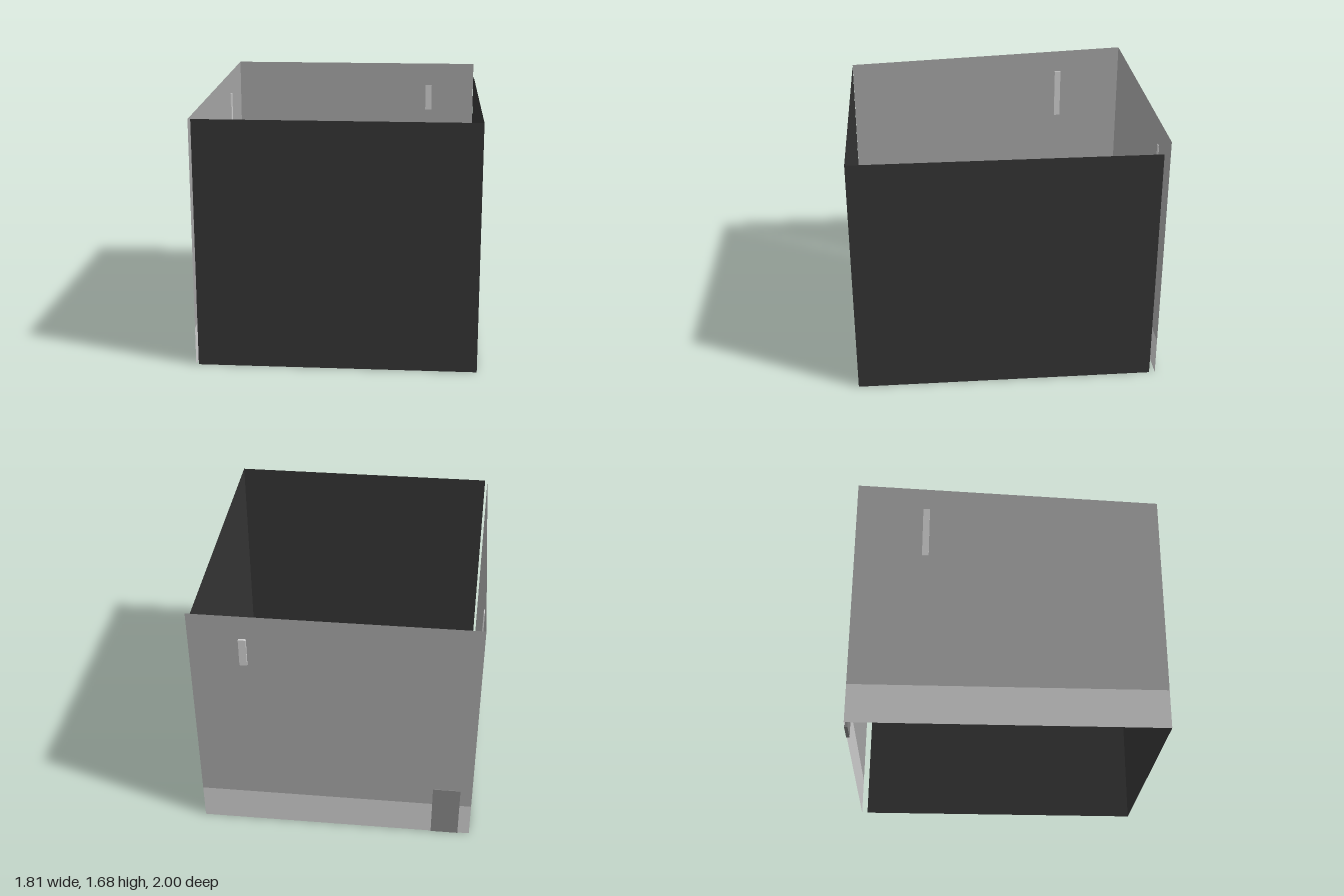
import * as THREE from 'three';

const LEFT = 0.902, RIGHT = -0.897, FRONT = 1, BACK = -0.984;
const LOW = 1.605, HIGH = 1.685, BAND = 0.25;

const material = (color) => new THREE.MeshStandardMaterial({ color, side: THREE.DoubleSide });

export function createModel() {
  const model = new THREE.Group();
  const dark = material(0x333333);
  const plaster = material(0xa3a3a3);
  const light = material(0xcccccc);
  const doorGrey = material(0x858585);

  // Thin upright panel from a to b ([x, z]); its top may slope from topA to topB
  const panel = (name, a, b, bottom, topA, topB, mat) => {
    const length = Math.hypot(b[0] - a[0], b[1] - a[1]);
    const shape = new THREE.Shape([
      new THREE.Vector2(0, bottom), new THREE.Vector2(length, bottom),
      new THREE.Vector2(length, topB), new THREE.Vector2(0, topA),
    ]);
    const mesh = new THREE.Mesh(new THREE.ShapeGeometry(shape), mat);
    mesh.rotation.y = -Math.atan2(b[1] - a[1], b[0] - a[0]);
    mesh.position.set(a[0], 0, a[1]);
    mesh.name = name;
    model.add(mesh);
  };

  // Box given by its extents
  const block = (name, [x0, x1], [y0, y1], [z0, z1], mat) => {
    const mesh = new THREE.Mesh(new THREE.BoxGeometry(x1 - x0, y1 - y0, z1 - z0), mat);
    mesh.position.set((x0 + x1) / 2, (y0 + y1) / 2, (z0 + z1) / 2);
    mesh.name = name;
    model.add(mesh);
  };

  // Dark walls, each stopping just short of the light walls
  panel('frontWall', [-0.88, FRONT], [LEFT, FRONT], 0, LOW, LOW, dark);
  panel('leftWall', [LEFT, FRONT], [LEFT, -0.945], 0, LOW, LOW, dark);

  // Light walls above a paler base band
  const backEnds = [[LEFT, BACK], [RIGHT, BACK]];
  const rightEnds = [[RIGHT, BACK], [RIGHT, FRONT]];
  panel('backWall', ...backEnds, BAND, HIGH, HIGH, plaster);
  panel('backBaseBand', ...backEnds, 0, BAND, BAND, light);
  panel('rightWall', ...rightEnds, BAND, HIGH, LOW, plaster);
  panel('rightBaseBand', ...rightEnds, 0, BAND, BAND, light);

  // Door set into the back wall
  block('door', [-0.82, -0.64], [0, 0.385], [-0.988, -0.967], doorGrey);

  // Narrow upright fixtures high on the light walls
  block('backFixture', [0.54, 0.587], [1.33, 1.52], [-1, -0.982], light);
  block('rightFixture', [-0.906, -0.89], [1.16, 1.51], [-0.55, -0.507], light);

  return model;
}
